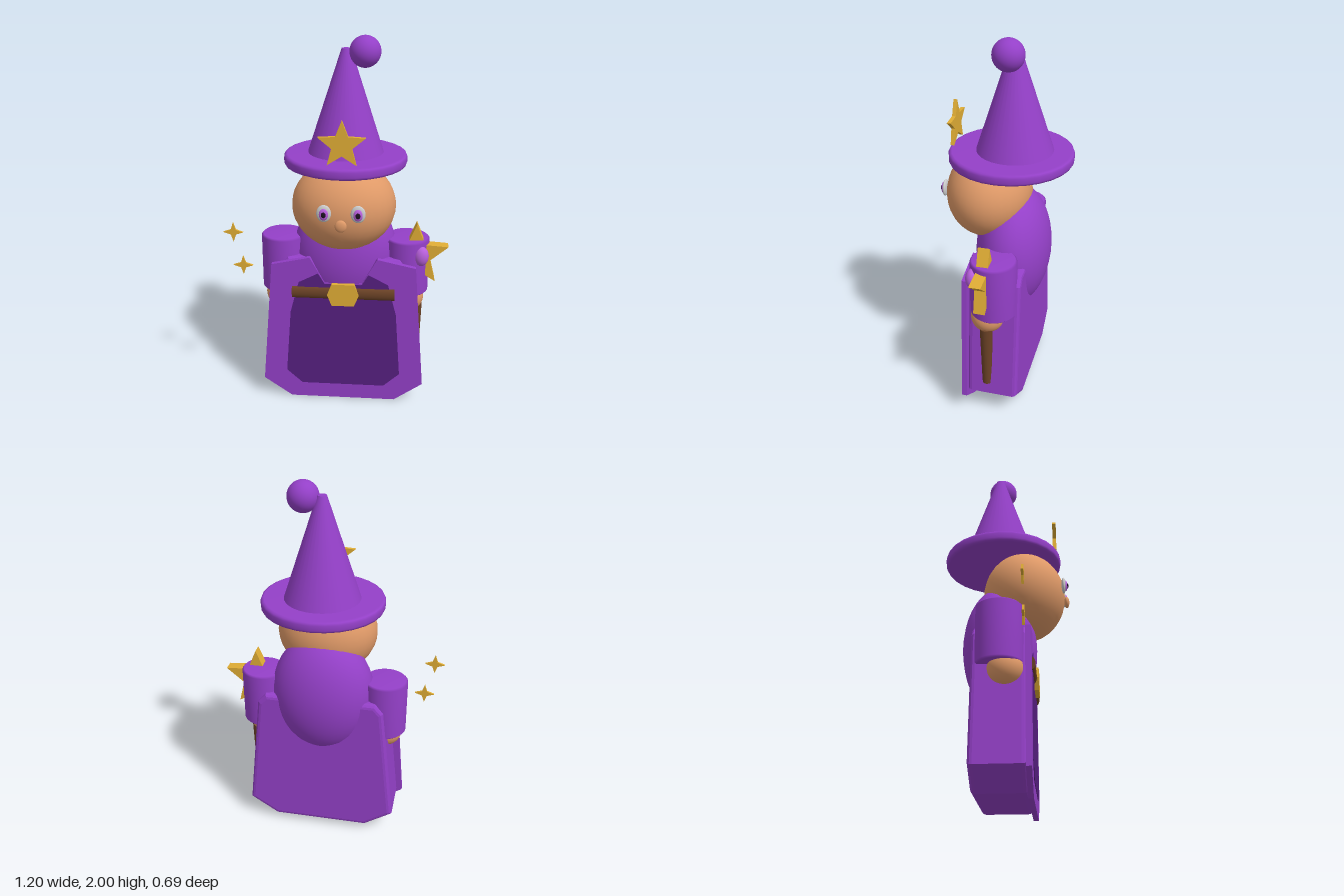
import * as THREE from 'three';

const CX = 0.035; // figure's centre line
const mat = (color, side = THREE.FrontSide) => new THREE.MeshStandardMaterial({ color, side });
const purple = mat(0x9440c8), darkPurple = mat(0x561f80), skin = mat(0xe09a68), gold = mat(0xe0ad35);
const brown = mat(0x6b4226), white = mat(0xf0f0f0), iris = mat(0xb860dc), black = mat(0x1a1020);

export function createModel() {
  const model = new THREE.Group();
  model.name = 'wizardFigure';

  const add = (name, geometry, material, x = 0, y = 0, z = 0, parent = model) => {
    const mesh = new THREE.Mesh(geometry, material);
    mesh.name = name;
    mesh.position.set(x, y, z);
    parent.add(mesh);
    return mesh;
  };
  const ellipsoid = (name, material, pos, radii, parent = model) => {
    const mesh = add(name, new THREE.SphereGeometry(1, 32, 20), material, ...pos, parent);
    mesh.scale.set(...radii);
    return mesh;
  };
  const toShape = (pts) => new THREE.Shape(pts.map(([x, y]) => new THREE.Vector2(x, y)));
  const slab = (pts, depth, bevel = 0, segments = 3) => new THREE.ExtrudeGeometry(toShape(pts), {
    depth: depth - 2 * bevel, bevelEnabled: bevel > 0, bevelSize: bevel,
    bevelThickness: bevel, bevelOffset: -bevel, bevelSegments: segments,
  }).translate(0, 0, bevel);
  // Right half of an outline, mirrored to the left
  const mirrored = (half) => [...half, ...half.map(([x, y]) => [-x, y]).reverse()];
  const star = (points, outer, inner, depth) => {
    const pts = [];
    for (let i = 0; i < points * 2; i++) {
      const a = Math.PI / 2 + (i * Math.PI) / points, r = i % 2 ? inner : outer;
      pts.push([r * Math.cos(a), r * Math.sin(a)]);
    }
    return slab(pts, depth);
  };

  // Hat: brim with rounded rim, tall cone, pompom and star
  const hat = new THREE.Group();
  hat.name = 'hat';
  model.add(hat);
  const rim = [[0, 0], [0.305, 0], [0.317, 0.005], [0.322, 0.017], [0.322, 0.043], [0.317, 0.055], [0.305, 0.06], [0, 0.06]];
  add('hatBrim', new THREE.LatheGeometry(rim.map((p) => new THREE.Vector2(...p)), 28), purple, CX, 1.345, -0.022, hat);
  add('hatCone', new THREE.CylinderGeometry(0.024, 0.2, 0.535, 32), purple, CX, 1.667, -0.04, hat);
  ellipsoid('hatPompom', purple, [0.13, 1.92, -0.03], [0.08, 0.08, 0.08], hat);
  add('hatStar', star(5, 0.122, 0.053, 0.02), gold, CX, 1.52, 0.26, hat);

  // Head and face
  ellipsoid('head', skin, [CX, 1.157, 0.095], [0.27, 0.238, 0.223]);
  for (const s of [-1, 1]) {
    const x = CX + s * 0.085;
    ellipsoid('eyeWhite', white, [x, 1.183, 0.312], [0.037, 0.045, 0.013]);
    ellipsoid('eyeIris', iris, [x, 1.181, 0.323], [0.023, 0.03, 0.01]);
    ellipsoid('eyePupil', black, [x, 1.181, 0.331], [0.012, 0.015, 0.007]);
  }
  ellipsoid('nose', skin, [CX, 1.123, 0.327], [0.03, 0.032, 0.014]);

  // Torso
  ellipsoid('torso', purple, [CX, 0.84, -0.038], [0.28, 0.35, 0.198]);

  // Robe: thick bevelled body, flat front border, dark inner panel
  const body = mirrored([[0.26, 0.03], [0.415, 0.13], [0.345, 0.8], [0.3, 0.85], [0.18, 0.85]]);
  add('robeBody', slab(body, 0.275, 0.025), purple, CX, 0, -0.155);
  const border = mirrored([[0.29, 0], [0.445, 0.11], [0.385, 0.82], [0.18, 0.865], [0.1, 0.72]]);
  add('robeFront', slab(border, 0.027), purple, CX, 0, 0.115);
  const panel = mirrored([[0.228, 0.09], [0.315, 0.17], [0.287, 0.54], [0.24, 0.72], [0.135, 0.775], [0.1, 0.715]]);
  add('robePanel', slab(panel, 0.01), darkPurple, CX, 0, 0.135);

  // Belt and buckle
  const belt = add('belt', new THREE.CylinderGeometry(0.034, 0.034, 0.553, 20), brown, CX, 0.662, 0.14);
  belt.rotation.z = Math.PI / 2;
  belt.scale.z = 0.55;
  add('beltBuckle', slab([[0.085, 0], [0.06, 0.063], [-0.06, 0.063], [-0.085, 0], [-0.06, -0.063], [0.06, -0.063]], 0.025), gold, CX, 0.66, 0.142);

  // Sleeves and hands
  const sleeve = [[0, -0.158], [0.11, -0.158], [0.12, -0.148], [0.12, 0.148], [0.11, 0.158], [0, 0.158]];
  for (const s of [-1, 1]) {
    add('sleeve', new THREE.LatheGeometry(sleeve.map((p) => new THREE.Vector2(...p)), 32), purple, CX + s * 0.337, 0.787, -0.015);
    ellipsoid('hand', skin, [CX + s * 0.345, 0.605, 0.015], [0.09, 0.09, 0.09]);
  }

  // Wand with its star and gem
  add('wand', new THREE.CylinderGeometry(0.034, 0.025, 0.36, 16), brown, 0.43, 0.375, 0.012);
  add('wandStar', star(5, 0.18, 0.08, 0.06), gold, 0.42, 0.855, -0.01);
  ellipsoid('wandGem', iris, [0.447, 0.865, 0.075], [0.04, 0.055, 0.035]);

  // Floating sparkles
  for (const [x, y] of [[-0.552, 0.99], [-0.506, 0.8]]) {
    add('sparkle', star(4, 0.053, 0.019, 0.012), gold, x, y, 0.11);
  }
  return model;
}
